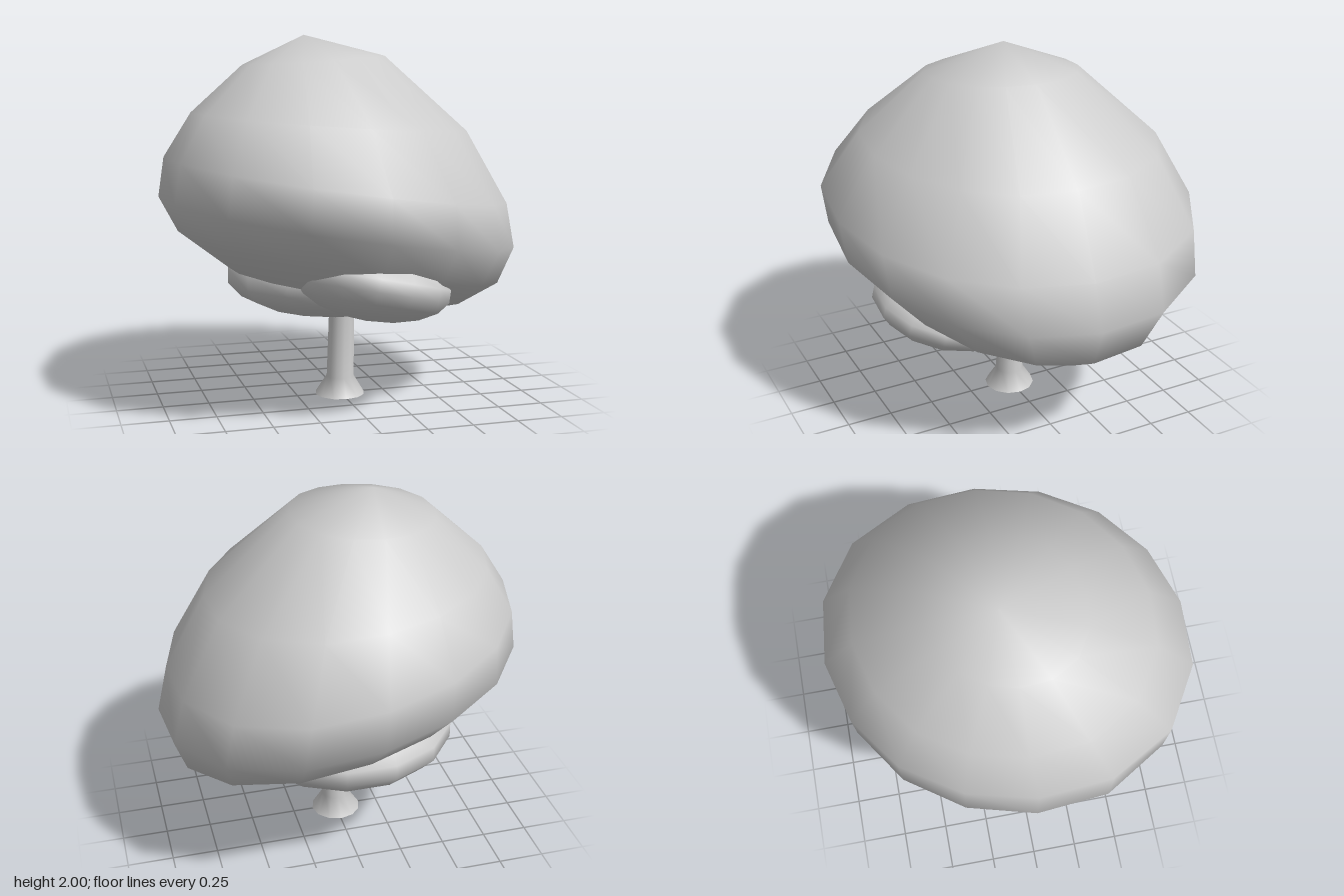
import * as THREE from 'three';

const grey = new THREE.MeshStandardMaterial({ color: 0xcccccc, side: THREE.DoubleSide });

function part(name, geometry) {
  const mesh = new THREE.Mesh(geometry, grey);
  mesh.name = name;
  return mesh;
}

// Closed smooth skin over tilted oval rings, listed from top to bottom.
// Each ring: left x, left y, right x, right y, half depth, centre z
function loftRings(rings, sides) {
  const position = [], index = [];
  rings.forEach(([lx, ly, rx, ry, depth, cz]) => {
    for (let i = 0; i < sides; i++) {
      const a = (i / sides) * Math.PI * 2;
      const s = Math.sin(2 * a);
      const bulge = 1 - 0.05 * s + 0.02 * s * s; // slightly fuller on one diagonal
      const c = Math.cos(a) * bulge;
      position.push(
        (lx + rx) / 2 + c * (rx - lx) / 2,
        (ly + ry) / 2 + c * (ry - ly) / 2,
        cz + Math.sin(a) * bulge * depth
      );
    }
  });
  const n = rings.length;
  for (let r = 0; r < n - 1; r++) {
    for (let i = 0; i < sides; i++) {
      const j = (i + 1) % sides;
      const a = r * sides + i, b = r * sides + j;
      index.push(a, b, a + sides, b, b + sides, a + sides);
    }
  }
  // Poles close both ends
  const ends = [[-0.19, 2.0, -0.06], [0.1, 0.55, 0]];
  const top = n * sides, bottom = top + 1, last = (n - 1) * sides;
  ends.forEach(p => position.push(...p));
  for (let i = 0; i < sides; i++) {
    const j = (i + 1) % sides;
    index.push(top, j, i, bottom, last + i, last + j);
  }
  const g = new THREE.BufferGeometry();
  g.setAttribute('position', new THREE.Float32BufferAttribute(position, 3));
  g.setIndex(index);
  g.computeVertexNormals();
  return g;
}

function foliageClump(name, centre, radii, tiltX, tiltZ) {
  const mesh = part(name, new THREE.SphereGeometry(1, 14, 9));
  mesh.position.set(...centre);
  mesh.scale.set(...radii);
  mesh.rotation.set(tiltX, 0, tiltZ);
  return mesh;
}

export function createModel() {
  const tree = new THREE.Group();
  tree.name = 'tree';

  // Large lopsided crown, drooping towards +x
  tree.add(part('mainCrown', loftRings([
    [-0.54, 1.84, 0.25, 1.89, 0.40, -0.02],
    [-0.82, 1.59, 0.71, 1.48, 0.77, -0.02],
    [-0.97, 1.36, 0.93, 1.08, 0.97, 0],
    [-1.00, 1.15, 0.99, 0.83, 0.95, -0.01],
    [-0.90, 0.96, 0.92, 0.62, 0.75, -0.01],
    [-0.63, 0.75, 0.71, 0.49, 0.47, -0.02]
  ], 16)));

  // Flat clumps tucked under the crown
  tree.add(foliageClump('lowerFoliage', [-0.01, 0.68, -0.13], [0.61, 0.24, 0.61], 0, 0));
  tree.add(foliageClump('frontFoliage', [0.06, 0.69, 0.39], [0.42, 0.19, 0.44], -0.15, -0.2));

  // Trunk with flared foot, open underneath, leaning slightly
  const profile = [[0.14, 0], [0.078, 0.1], [0.072, 0.55]].map(p => new THREE.Vector2(...p));
  const trunk = new THREE.LatheGeometry(profile, 12);
  const p = trunk.attributes.position;
  for (let i = 0; i < p.count; i++) p.setX(i, p.getX(i) - 0.004 + 0.025 * p.getY(i));
  tree.add(part('trunk', trunk));

  return tree;
}
